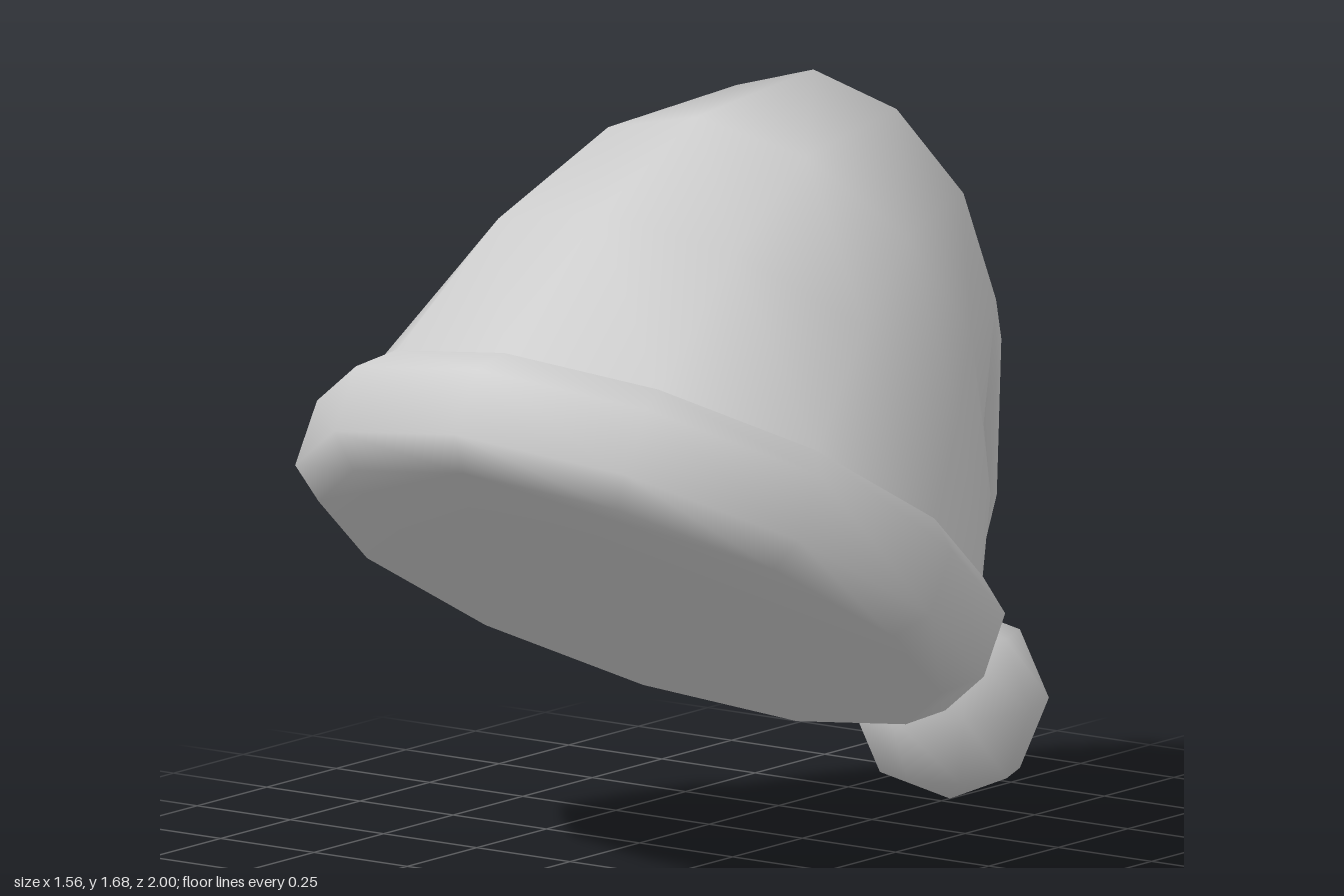
import * as THREE from 'three';

const SIDES = 12;

// Skins a row of elliptical rings lying across the yz plane.
// Ring: [front z, front y, back z, back y, half width in x]
function loft(rings, capStart, capEnd) {
  const pos = [], index = [];
  for (const [fz, fy, bz, by, w] of rings) {
    for (let j = 0; j < SIDES; j++) {
      const a = (j / SIDES) * Math.PI * 2, c = Math.cos(a) / 2;
      pos.push(w * Math.sin(a), (fy + by) / 2 + (fy - by) * c, (fz + bz) / 2 + (fz - bz) * c);
    }
  }
  for (let i = 0; i < rings.length - 1; i++) {
    for (let j = 0; j < SIDES; j++) {
      const k = (j + 1) % SIDES, a = i * SIDES, b = a + SIDES;
      index.push(a + j, a + k, b + j, a + k, b + k, b + j);
    }
  }
  const last = (rings.length - 1) * SIDES;
  for (let j = 1; j < SIDES - 1; j++) {
    if (capStart) index.push(0, j + 1, j);
    if (capEnd) index.push(last, last + j, last + j + 1);
  }
  const geo = new THREE.BufferGeometry();
  geo.setAttribute('position', new THREE.Float32BufferAttribute(pos, 3));
  geo.setIndex(index);
  geo.computeVertexNormals();
  return geo;
}

export function createModel() {
  const group = new THREE.Group();
  const felt = new THREE.MeshStandardMaterial({ color: 0xcccccc });
  felt.name = 'lightGreyFelt';

  const add = (name, geo) => {
    const mesh = new THREE.Mesh(geo, felt);
    mesh.name = name;
    group.add(mesh);
    return mesh;
  };

  // Tilted brim band with its closed underside
  add('brim', loft([
    [0.97, 1.0, -0.23, 0.26, 0.705],
    [1.0, 1.09, -0.33, 0.275, 0.78],
    [0.92, 1.22, -0.405, 0.4, 0.78],
    [0.82, 1.24, -0.38, 0.49, 0.705],
  ], true, false));

  // Drooping cone that folds over towards the back
  add('cone', loft([
    [0.82, 1.235, -0.38, 0.49, 0.705],
    [0.48, 1.49, -0.42, 0.61, 0.63],
    [0.13, 1.645, -0.425, 0.73, 0.53],
    [-0.29, 1.68, -0.45, 0.75, 0.43],
    [-0.74, 1.16, -0.48, 0.73, 0.25],
    [-0.845, 0.71, -0.61, 0.595, 0.14],
    [-0.82, 0.41, -0.765, 0.41, 0.035],
  ], false, true));

  // Pompom at the tip
  add('pompom', new THREE.SphereGeometry(0.215, 8, 4)).position.set(0, 0.215, -0.78);

  return group;
}
